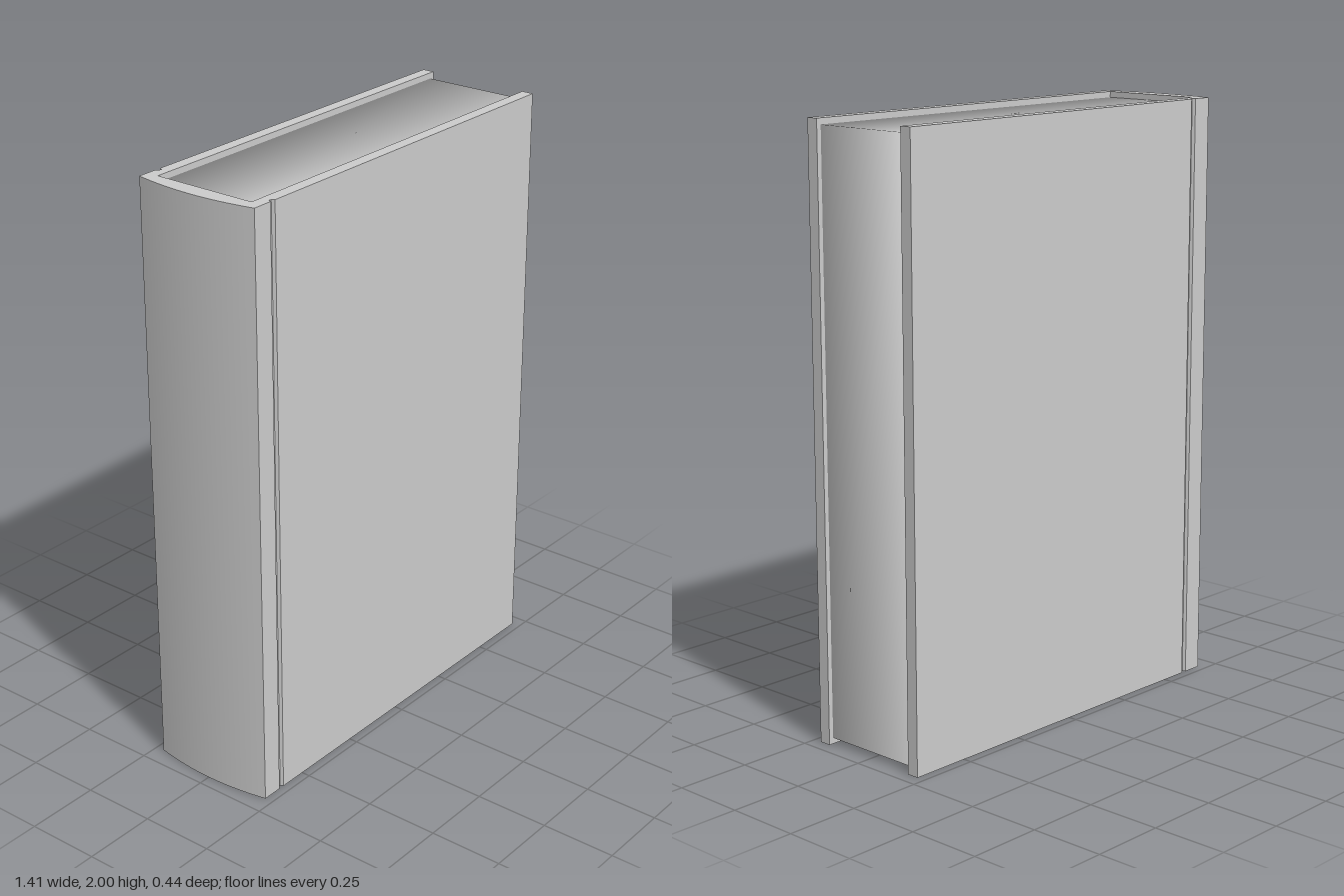
import * as THREE from 'three';
import { mergeVertices, toCreasedNormals } from 'three/addons/utils/BufferGeometryUtils.js';

const HEIGHT = 2;
const OUTER = 0.221; // half thickness of the closed book
const INNER = 0.18; // half thickness of the page block
const EDGE = 0.706; // fore edge of the covers

// Hinge groove and cover outline on one side (s = 1 or -1), from spine to fore edge
function coverSide(s) {
  return [
    [-0.685, OUTER], [-0.615, OUTER], [-0.61, 0.211], [-0.6, 0.211], [-0.595, OUTER],
    [EDGE, OUTER], [EDGE, INNER], [-0.65, INNER],
  ].map(([x, z]) => new THREE.Vector2(x, s * z));
}

export function createModel() {
  const book = new THREE.Group();
  book.name = 'book';
  const material = new THREE.MeshStandardMaterial({ color: 0xcccccc });

  // Both covers and the rounded spine are one section, extruded upwards
  const front = coverSide(1);
  const back = coverSide(-1).reverse();
  const section = new THREE.Shape();
  section.moveTo(front[0].x, front[0].y);
  [...front.slice(1), ...back].forEach((p) => section.lineTo(p.x, p.y));
  section.quadraticCurveTo(-0.733, 0, front[0].x, front[0].y);
  const coverGeometry = new THREE.ExtrudeGeometry(section, {
    depth: HEIGHT, bevelEnabled: false, curveSegments: 16,
  });
  coverGeometry.rotateX(-Math.PI / 2);
  const cover = new THREE.Mesh(toCreasedNormals(coverGeometry, 0.4), material);
  cover.name = 'cover';
  book.add(cover);

  // Page block, slightly inset, with normals shared across its corners
  let pagesGeometry = new THREE.BoxGeometry(1.34, HEIGHT - 0.04, 2 * INNER);
  pagesGeometry.deleteAttribute('normal');
  pagesGeometry.deleteAttribute('uv');
  pagesGeometry = mergeVertices(pagesGeometry);
  pagesGeometry.computeVertexNormals();
  const pages = new THREE.Mesh(pagesGeometry, material);
  pages.name = 'pages';
  pages.position.set(0.02, HEIGHT / 2, 0);
  book.add(pages);

  return book;
}
